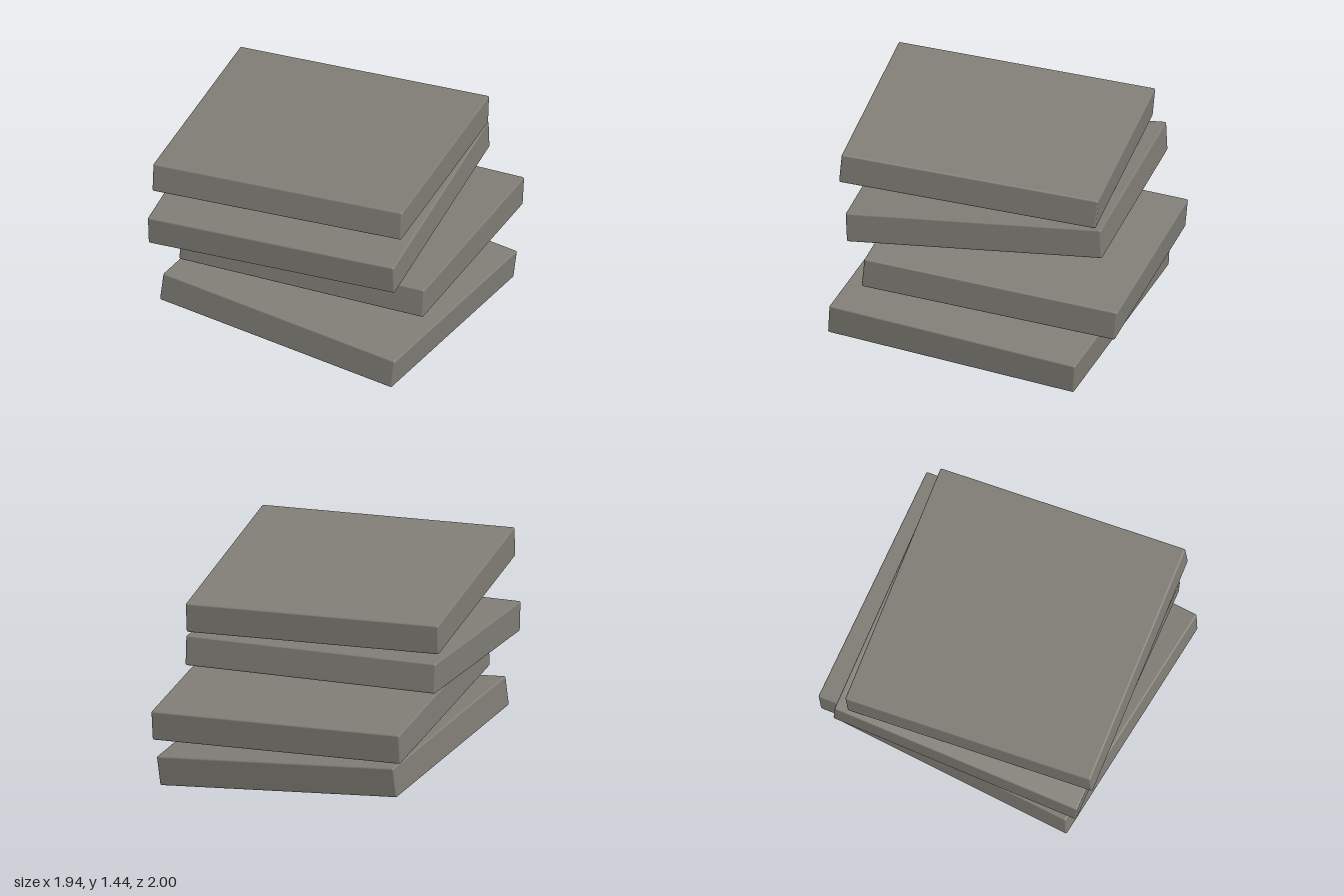
import * as THREE from 'three';
import { RoundedBoxGeometry } from 'three/addons/geometries/RoundedBoxGeometry.js';

export function createModel() {
  const group = new THREE.Group();
  group.name = 'slabStack';

  const stone = new THREE.MeshStandardMaterial({ color: 0x807d76 });
  stone.name = 'greyStone';

  // One square slab with slightly softened edges, shared by the whole stack
  const slabGeometry = new RoundedBoxGeometry(1.7, 0.2, 1.7, 2, 0.012);

  // Each slab: centre, direction of its left-right edge, direction of its back-front edge
  const slabs = [
    { name: 'bottomSlab', centre: [0.053, 0.251, 0.045], across: [1.67, -0.15, 0.137], forward: [-0.125, 0.14, 1.675] },
    { name: 'lowerSlab', centre: [0.069, 0.588, -0.133], across: [1.69, -0.02, -0.03], forward: [0.03, 0.165, 1.685] },
    { name: 'upperSlab', centre: [-0.089, 0.928, 0.037], across: [1.685, 0.02, -0.065], forward: [0.06, -0.083, 1.695] },
    { name: 'topSlab', centre: [-0.052, 1.27, 0.089], across: [1.69, -0.005, -0.12], forward: [0.115, 0.155, 1.68] },
  ];

  for (const { name, centre, across, forward } of slabs) {
    const x = new THREE.Vector3(...across).normalize();
    const y = new THREE.Vector3(...forward).cross(x).normalize();
    const z = new THREE.Vector3().crossVectors(x, y);
    const slab = new THREE.Mesh(slabGeometry, stone);
    slab.name = name;
    slab.position.set(...centre);
    slab.quaternion.setFromRotationMatrix(new THREE.Matrix4().makeBasis(x, y, z));
    group.add(slab);
  }

  return group;
}
